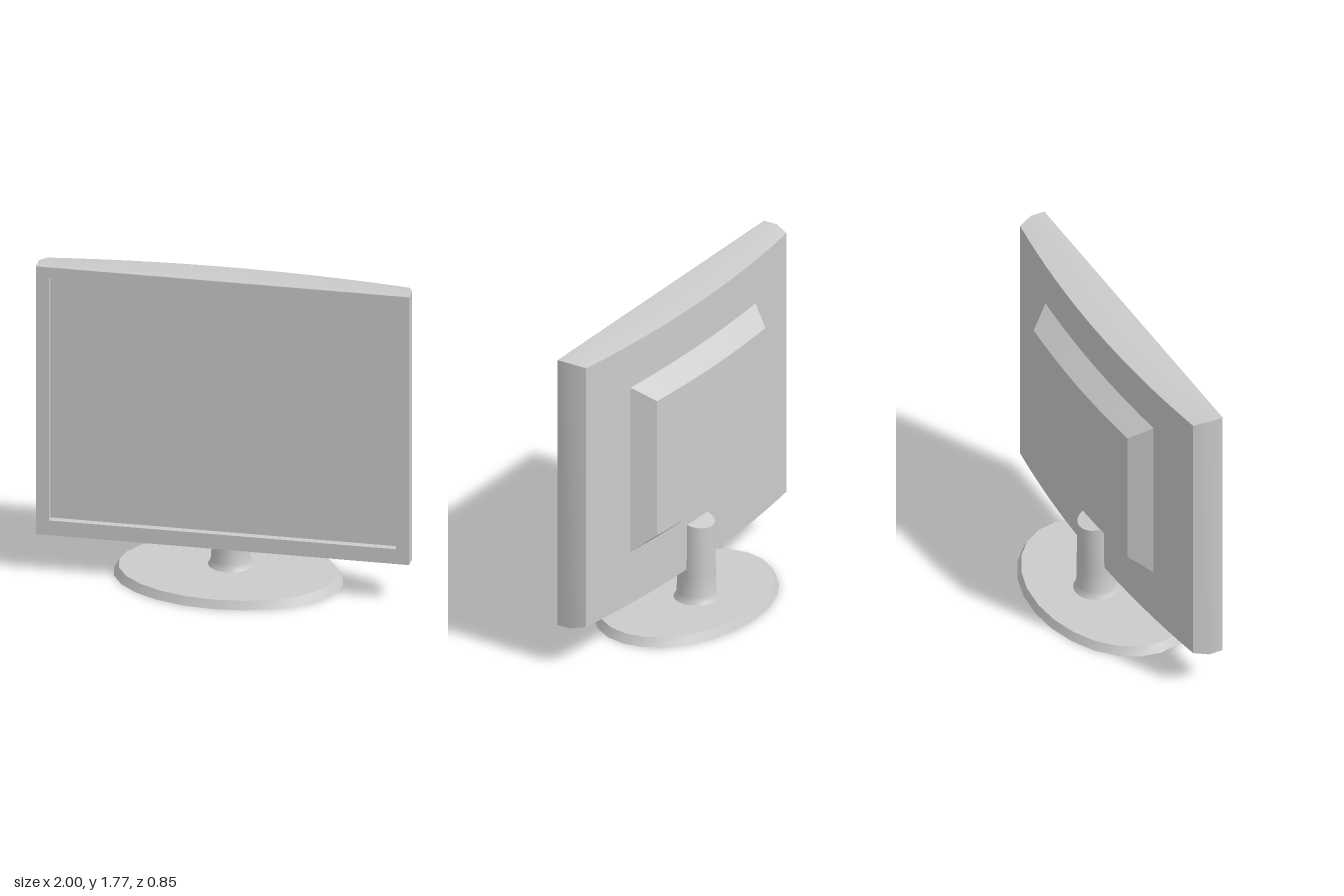
import * as THREE from 'three';
import { toCreasedNormals } from 'three/addons/utils/BufferGeometryUtils.js';

const N = 16; // samples across the width, for the bowed back
const material = new THREE.MeshStandardMaterial({ color: 0xcccccc });

function part(name, geometry) {
  const mesh = new THREE.Mesh(toCreasedNormals(geometry, 0.5), material);
  mesh.name = name;
  return mesh;
}

// Rectangular outline, counter-clockwise from the front; z bows back by `bow` in the middle
function outline({ w, y0, y1, z, bow = 0 }) {
  const points = [];
  for (const y of [y0, y1]) {
    for (let i = 0; i <= N; i++) {
      const t = (2 * i / N - 1) * (y === y0 ? 1 : -1);
      points.push([w * t, y, z - bow * (1 - t * t)]);
    }
  }
  return points;
}

// Joins outlines from front to back and closes the back with a curved panel
function shell(rings) {
  const M = 2 * (N + 1);
  const index = [];
  for (let k = 0; k < rings.length - 1; k++) {
    for (let i = 0; i < M; i++) {
      const j = (i + 1) % M;
      const a = k * M + i, b = k * M + j, c = a + M, d = b + M;
      index.push(a, c, b, b, c, d);
    }
  }
  const last = (rings.length - 1) * M;
  for (let i = 0; i < N; i++) {
    const a = last + i, b = a + 1, c = last + M - 1 - i, d = c - 1;
    index.push(a, c, b, b, c, d);
  }
  const geometry = new THREE.BufferGeometry();
  geometry.setAttribute('position', new THREE.Float32BufferAttribute(rings.flatMap(outline).flat(), 3));
  geometry.setIndex(index);
  return geometry;
}

export function createModel() {
  const group = new THREE.Group();

  // Housing: recess wall, front bezel, sides, tapered edge and bowed back
  group.add(part('housing', shell([
    { w: 0.93, y0: 0.31, y1: 1.71, z: 0.12 },
    { w: 0.93, y0: 0.31, y1: 1.71, z: 0.16 },
    { w: 1, y0: 0.225, y1: 1.77, z: 0.16 },
    { w: 1, y0: 0.225, y1: 1.77, z: 0.08 },
    { w: 0.97, y0: 0.242, y1: 1.752, z: 0, bow: 0.068 },
  ])));

  // Screen set back inside the bezel
  const screen = part('screen', new THREE.PlaneGeometry(1.86, 1.4));
  screen.position.set(0, 1.01, 0.12);
  group.add(screen);

  // Raised cover on the back with bevelled sides
  group.add(part('backCover', shell([
    { w: 0.61, y0: 0.54, y1: 1.505, z: -0.036, bow: 0.03 },
    { w: 0.525, y0: 0.635, y1: 1.42, z: -0.155, bow: 0.022 },
  ])));

  // Round neck with a flared foot and a sloping top
  const neckProfile = [[0.125, 0.04], [0.112, 0.06], [0.104, 0.085], [0.102, 0.2], [0.098, 0.5], [0, 0.5]]
    .map(([r, y]) => new THREE.Vector2(r, y));
  const neckGeometry = new THREE.LatheGeometry(neckProfile, 24);
  const p = neckGeometry.attributes.position;
  for (let i = 0; i < p.count; i++) {
    if (p.getY(i) > 0.45) p.setY(i, 0.5 + 0.2 * p.getZ(i));
  }
  const neck = part('neck', neckGeometry);
  neck.position.z = -0.063;
  group.add(neck);

  // Oval base plate with a sloping rim
  const baseGeometry = new THREE.CylinderGeometry(0.585, 0.612, 0.047, 24);
  baseGeometry.scale(1, 1, 0.695);
  baseGeometry.translate(0, 0.0235, 0);
  group.add(part('base', baseGeometry));

  return group;
}
